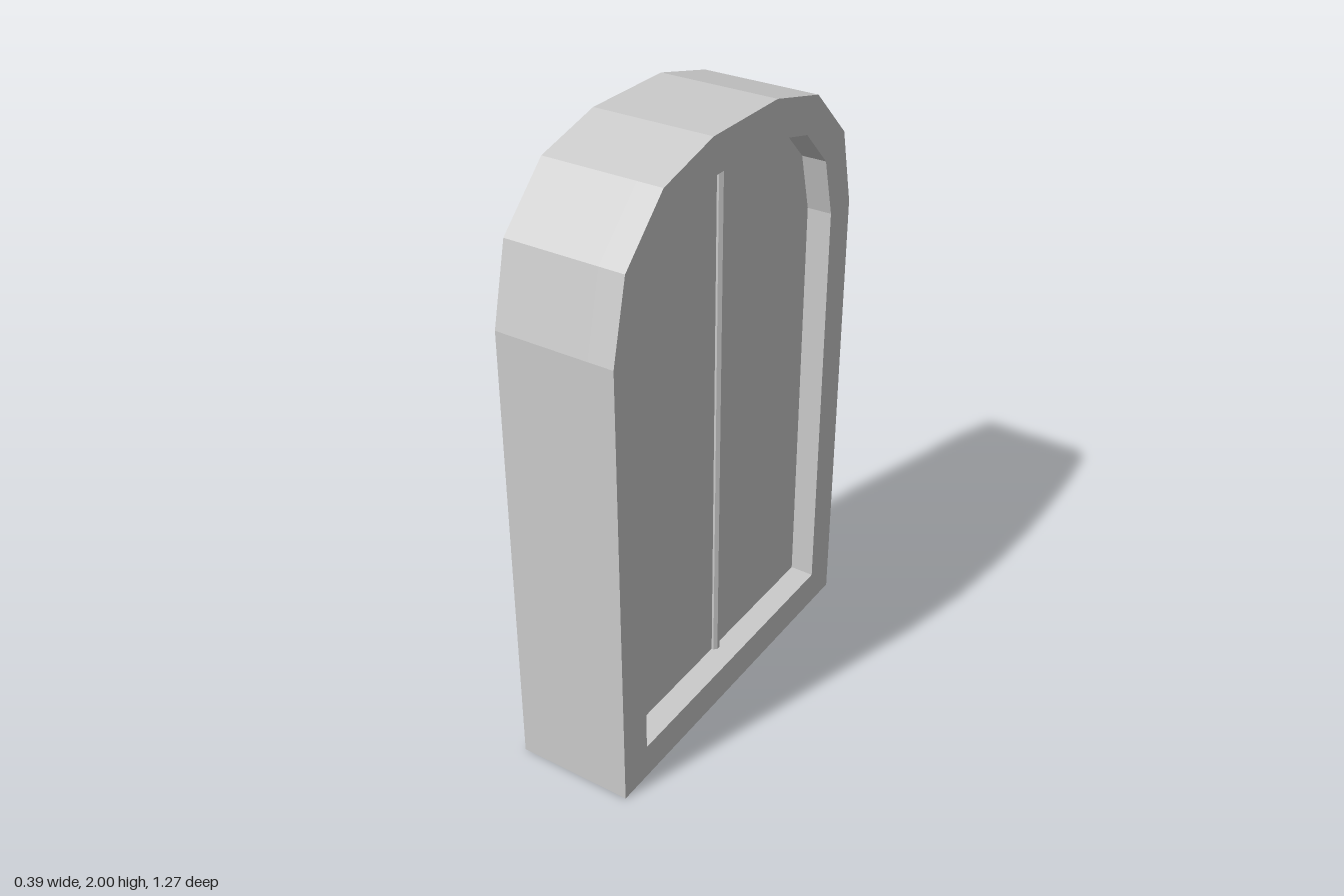
import * as THREE from 'three';

const BACK = -0.195, PANEL = 0.113, FACE = 0.195;

// Half outlines from sill to crown, as [half width, height]
const OUTER = [[0.635, 0], [0.635, 1.52], [0.575, 1.77], [0.4, 1.94], [0.165, 2]];
const INNER = [[0.517, 0.12], [0.517, 1.52], [0.467, 1.71], [0.343, 1.835], [0.15, 1.885]];

// Mirrors a half outline into a closed arch
function archPoints(half) {
  const mirrored = half.map(([w, y]) => [-w, y]).reverse();
  return [...half, ...mirrored].map(([w, y]) => new THREE.Vector2(w, y));
}

// Extrudes a shape along x between two planes
function extrudeX(shape, x0, x1) {
  const geometry = new THREE.ExtrudeGeometry(shape, { depth: x1 - x0, bevelEnabled: false });
  return geometry.rotateY(Math.PI / 2).translate(x0, 0, 0);
}

export function createModel() {
  const group = new THREE.Group();
  group.name = 'archedWindow';
  const material = new THREE.MeshStandardMaterial({ color: 0xcccccc, flatShading: true });

  function add(name, geometry) {
    const mesh = new THREE.Mesh(geometry, material);
    mesh.name = name;
    group.add(mesh);
  }

  // Solid block whose outer side is the recessed pane
  add('windowBody', extrudeX(new THREE.Shape(archPoints(OUTER)), BACK, PANEL));

  // Raised border around the pane
  const border = new THREE.Shape(archPoints(OUTER));
  border.holes.push(new THREE.Path(archPoints(INNER)));
  add('windowFrame', extrudeX(border, PANEL, FACE));

  // Thin upright bar, half sunk into the pane
  const bar = new THREE.CylinderGeometry(0.018, 0.018, 1.765, 8, 1);
  bar.rotateY(Math.PI / 8).translate(PANEL, 1.0025, 0);
  add('centreBar', bar);

  return group;
}
